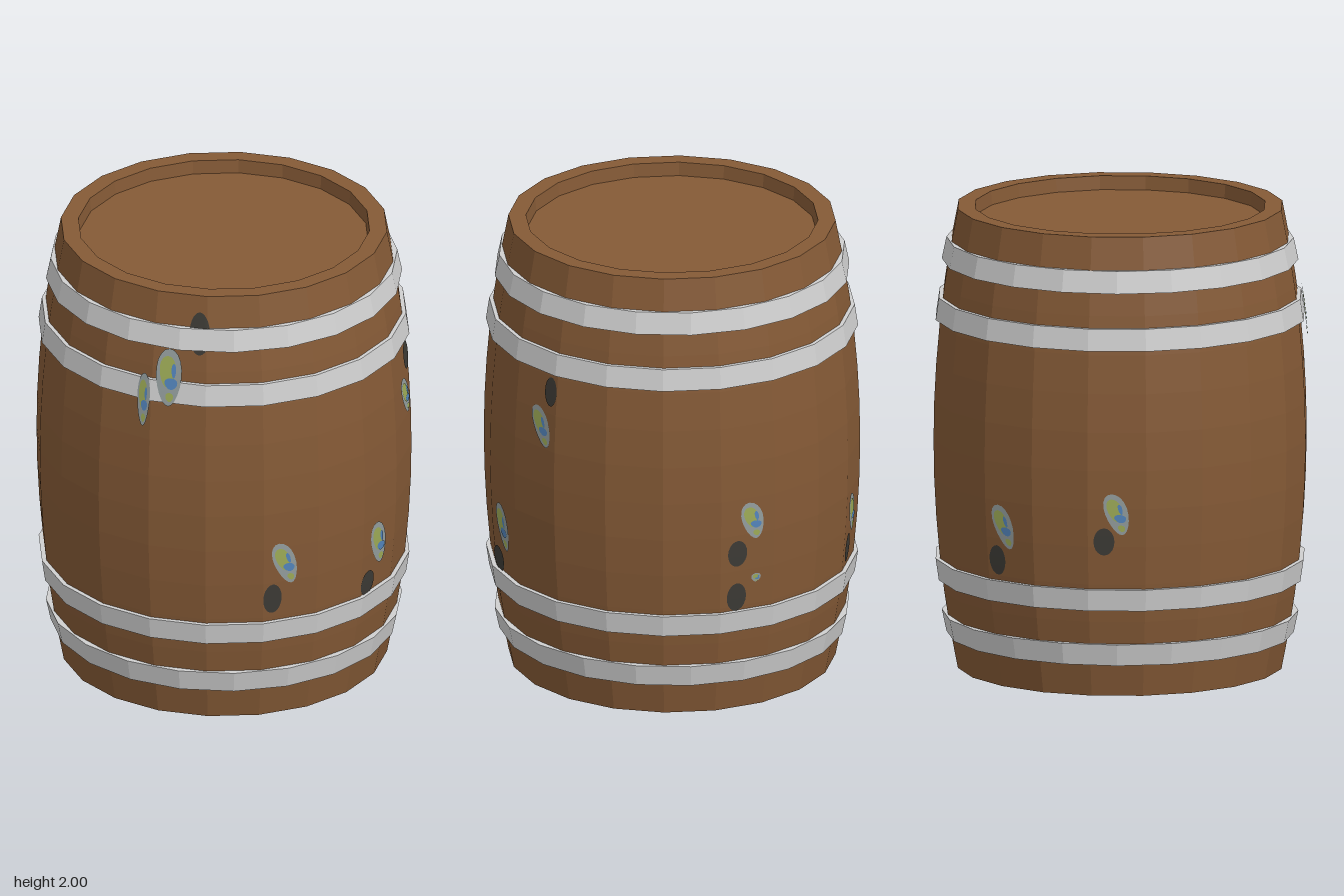
import * as THREE from 'three';

const SIDES = 20;
const STEP = (Math.PI * 2) / SIDES;
const bulge = (y) => 0.805 - 0.105 * (y - 1) ** 2;

// distance from the axis to the faceted stave wall
function wallRadius(az, y) {
  const local = ((az % STEP) + STEP) % STEP - STEP / 2;
  return (bulge(y) * Math.cos(STEP / 2)) / Math.cos(local);
}

function lathe(profile) {
  return new THREE.LatheGeometry(profile.map(([r, y]) => new THREE.Vector2(r, y)), SIDES);
}

// pear-shaped thin patch that follows the wall; w and h are half sizes
function patch(azDeg, y, w, h, tilt, taper, lift) {
  const rings = 4, n = 20, pos = [], idx = [];
  const az0 = THREE.MathUtils.degToRad(azDeg);
  const add = (u, v) => {
    const az = az0 + u / bulge(y);
    const r = wallRadius(az, y + v) + lift;
    pos.push(Math.sin(az) * r, y + v, Math.cos(az) * r);
  };
  add(0, 0);
  for (let k = 1; k <= rings; k++) {
    for (let i = 0; i < n; i++) {
      const t = (i / n) * Math.PI * 2, s = k / rings;
      const v = h * s * Math.sin(t);
      add(w * s * Math.cos(t) * (1 + taper * Math.sin(t)) - tilt * v, v);
    }
  }
  for (let i = 0; i < n; i++) {
    const j = (i + 1) % n;
    idx.push(0, 1 + i, 1 + j);
    for (let k = 0; k < rings - 1; k++) {
      const a = 1 + k * n, b = a + n;
      idx.push(a + i, b + i, b + j, a + i, b + j, a + j);
    }
  }
  const g = new THREE.BufferGeometry();
  g.setAttribute('position', new THREE.Float32BufferAttribute(pos, 3));
  g.setIndex(idx);
  g.computeVertexNormals();
  return g;
}

export function createModel() {
  const group = new THREE.Group();
  const mat = (name, color, flatShading = false) => {
    const m = new THREE.MeshStandardMaterial({ color, flatShading });
    m.name = name;
    return m;
  };
  const wood = mat('wood', 0x855a36, true);
  const metal = mat('metal', 0xd0d0d0, true);
  const pale = mat('pale grey', 0x959f9f);
  const green = mat('moss green', 0x9fad58);
  const blue = mat('blue', 0x5486be);
  const dark = mat('dark stain', 0x3d3b36);
  const add = (name, geometry, material, parent = group) => {
    const m = new THREE.Mesh(geometry, material);
    m.name = name;
    parent.add(m);
    return m;
  };

  // bulging body with a recessed head at both ends
  const profile = [[0, 0.06], [0.62, 0.06], [0.625, 0]];
  for (let i = 0; i <= 12; i++) profile.push([bulge(i / 6), i / 6]);
  profile.push([0.625, 2], [0.62, 1.94], [0, 1.94]);
  add('barrelBody', lathe(profile), wood);

  // hoops, mirrored top and bottom
  const hoops = [
    { low: 0.14, high: 0.235, r0: 0.742, r1: 0.762, turn: STEP / 2 },
    { low: 0.385, high: 0.48, r0: 0.782, r1: 0.796, turn: 0 },
  ];
  for (const { low, high, r0, r1, turn } of hoops) {
    const ring = [[r0 - 0.05, low], [r0, low], [r1, high], [r1 - 0.05, high]];
    const upper = ring.map(([r, y]) => [r, 2 - y]).reverse();
    add('lowerHoop', lathe(ring), metal).rotation.y = turn;
    add('upperHoop', lathe(upper), metal).rotation.y = turn;
  }

  // mottled marks: azimuth, height, half width, half height, tilt, lift
  const marks = [
    [-11, 0.755, 0.05, 0.1, 0.3, 0.004],
    [26.5, 0.7, 0.055, 0.105, 0.22, 0.004],
    [48, 1.265, 0.05, 0.09, 0.35, 0.004],
    [-48, 1.635, 0.055, 0.13, 0, 0.022],
    [-56, 1.52, 0.03, 0.12, 0, 0.022],
    [118.5, 0.895, 0.05, 0.085, 0.2, 0.004],
    [120, 0.625, 0.022, 0.02, 0, 0.004],
    [169, 0.72, 0.05, 0.095, 0.3, 0.004],
    [207, 0.81, 0.05, 0.09, 0.25, 0.004],
  ];
  for (const [az, y, w, h, tilt, lift] of marks) {
    const mark = new THREE.Group();
    mark.name = 'mottledMark';
    group.add(mark);
    const spot = (name, du, dv, sw, sh, m, up) =>
      add(name, patch(az + (du * w - tilt * dv * h) * 74, y + dv * h, w * sw, h * sh, tilt, 0.2, lift + up), m, mark);
    spot('markEdge', 0, 0, 1, 1, pale, 0);
    spot('markGreen', -0.1, 0.2, 0.62, 0.55, green, 0.002);
    spot('markBlueBand', 0.2, -0.2, 0.5, 0.2, blue, 0.004);
    spot('markBlueSide', 0.4, 0.25, 0.18, 0.25, blue, 0.004);
    spot('markGreenTip', 0.1, -0.68, 0.3, 0.16, green, 0.002);
  }

  // dark stains: azimuth, height, half width, half height
  const stains = [
    [-15, 0.59, 0.042, 0.07], [21.5, 0.53, 0.05, 0.058], [51.5, 1.435, 0.036, 0.065],
    [-38.5, 1.835, 0.045, 0.095], [113.5, 0.75, 0.045, 0.06], [113.5, 0.545, 0.045, 0.065],
    [166, 0.57, 0.042, 0.065], [203, 0.69, 0.045, 0.06],
  ];
  for (const [az, y, w, h] of stains) {
    add('darkStain', patch(az, y, w, h, 0, 0, 0.004), dark);
  }
  return group;
}
